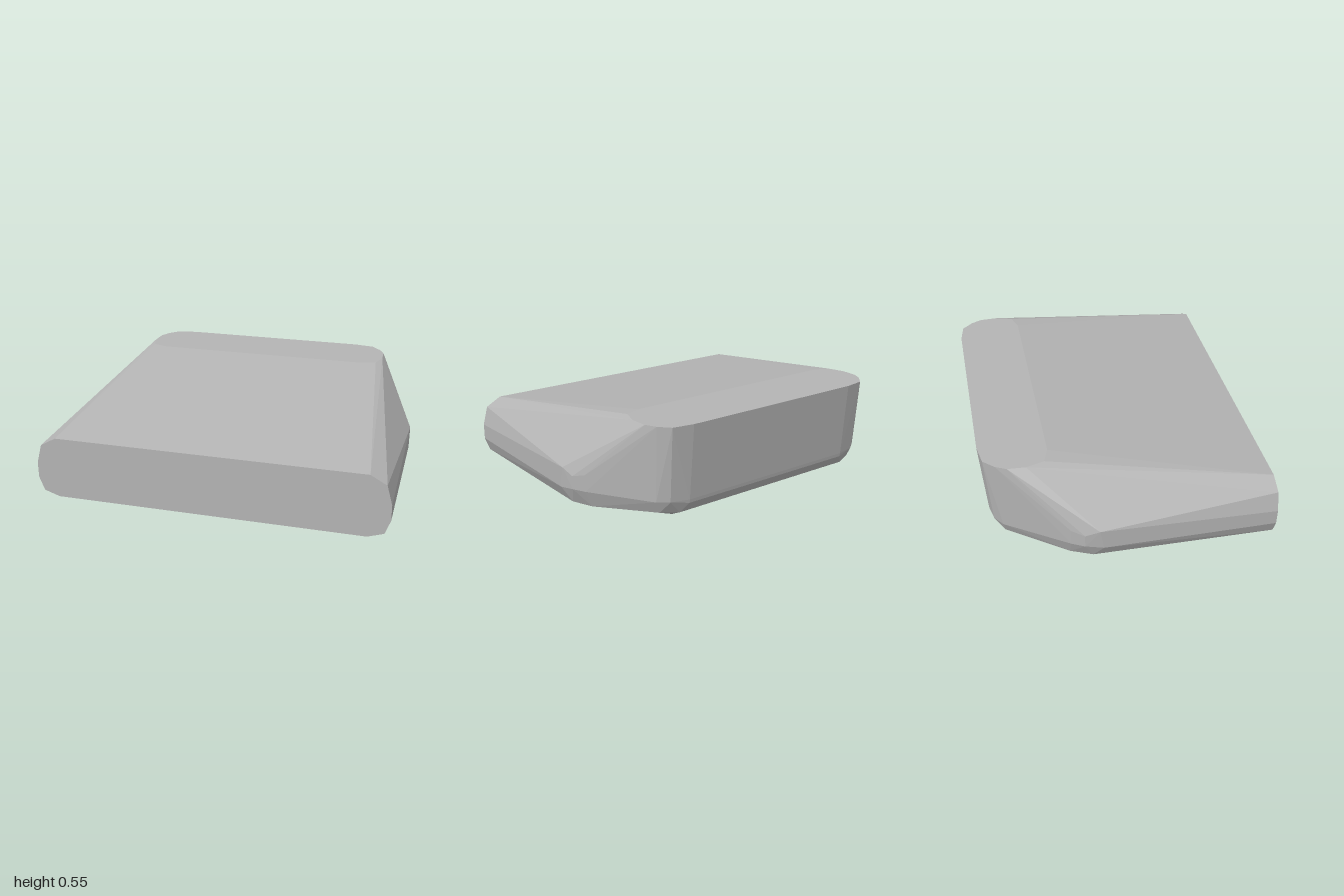
import * as THREE from 'three';
import { ConvexGeometry } from 'three/addons/geometries/ConvexGeometry.js';

// Corner points of the left half; the right half is mirrored.
const halfPoints = [
  // flat front end
  [0.88, 0, 0.79], [0.97, 0.03, 0.79], [1, 0.11, 0.79],
  [1, 0.2, 0.79], [0.97, 0.31, 0.79], [0.88, 0.36, 0.79],
  // level top with rounded corners
  [0.65, 0.545, -0.42], [0.74, 0.545, -0.45], [0.77, 0.545, -0.55], [0.765, 0.545, -0.65],
  [0.735, 0.545, -0.71], [0.68, 0.545, -0.77], [0.56, 0.545, -0.79],
  // side corner where the body starts to narrow
  [1, 0.11, -0.18], [1, 0.23, -0.2], [0.985, 0.125, -0.28], [0.985, 0.2, -0.28],
  [0.95, 0.125, -0.35], [0.95, 0.22, -0.35], [0.96, 0.03, -0.23], [0.91, 0.03, -0.35],
  // lower rear corner and rear edge
  [0.73, 0.125, -0.69], [0.67, 0.125, -0.735], [0.56, 0.12, -0.755],
  [0.56, 0.1, -0.752], [0.7, 0.055, -0.68], [0.6, 0.045, -0.72], [0.6, 0.01, -0.65],
  // flat underside
  [0.87, 0, -0.27], [0.8, 0, -0.38], [0.6, 0, -0.58],
];

export function createModel() {
  const group = new THREE.Group();
  group.name = 'wedgeBlock';

  const grey = new THREE.MeshStandardMaterial({ color: 0xb4b4b4 });
  grey.name = 'grey';

  const points = halfPoints.flatMap(([x, y, z]) => [
    new THREE.Vector3(x, y, z), new THREE.Vector3(-x, y, z),
  ]);
  const body = new THREE.Mesh(new ConvexGeometry(points), grey);
  body.name = 'body';
  group.add(body);
  return group;
}
